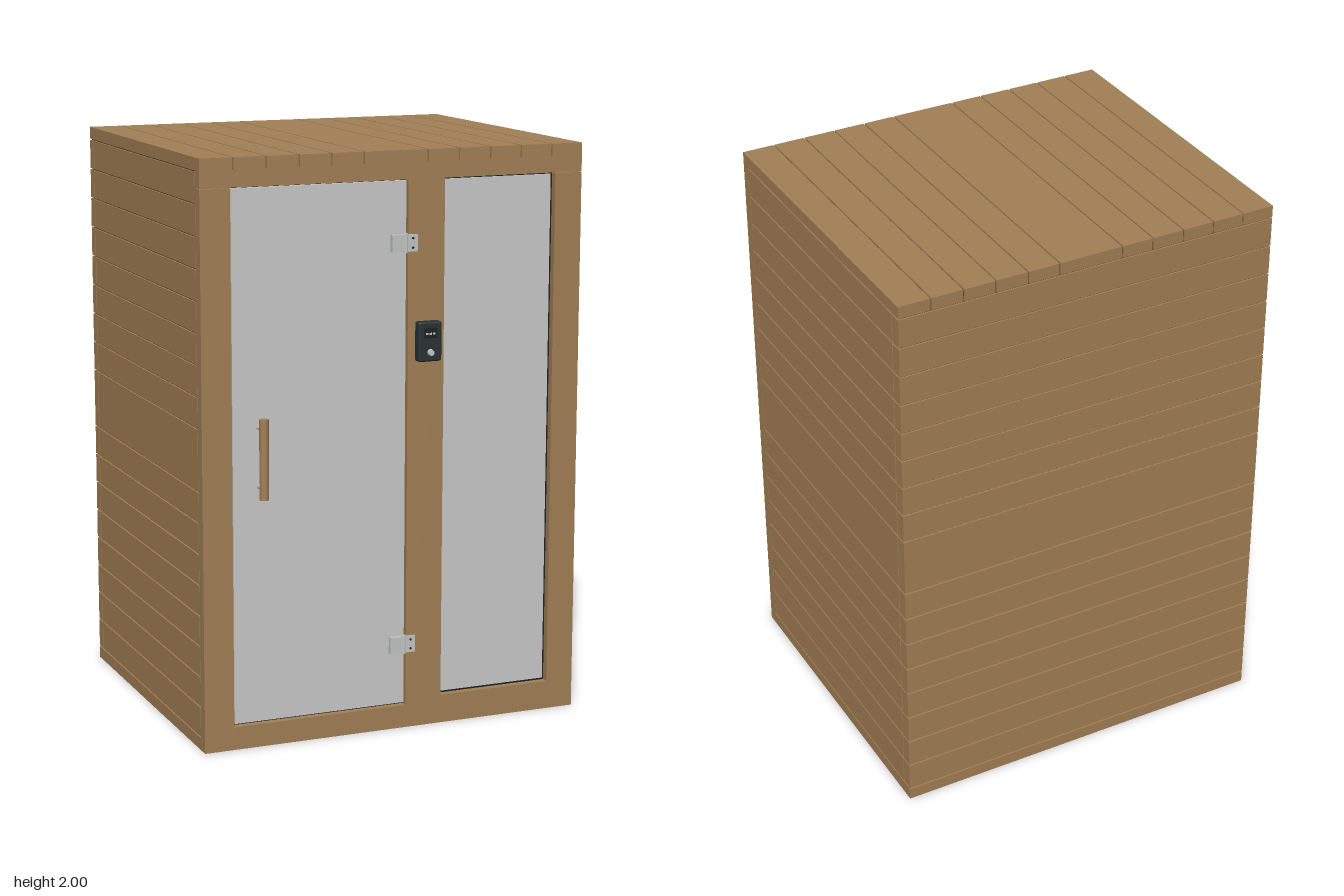
import * as THREE from 'three';
import { RoundedBoxGeometry } from 'three/addons/geometries/RoundedBoxGeometry.js';

const mat = (name, color, extra = {}) => {
  const m = new THREE.MeshStandardMaterial({ color, ...extra });
  m.name = name;
  return m;
};

export function createModel() {
  const wood = mat('wood', 0xa38055);
  const groove = mat('groove shadow', 0x5a4128);
  const glass = mat('frosted glass', 0xc8cac9);
  const black = mat('gasket black', 0x1f2224);
  const casing = mat('controller casing', 0x2b3235);
  const steel = mat('steel', 0xc4c6c6);

  const root = new THREE.Group();
  root.name = 'saunaCabin';
  const group = (name) => {
    const g = new THREE.Group();
    g.name = name;
    root.add(g);
    return g;
  };
  const add = (parent, name, geometry, material, x = 0, y = 0, z = 0) => {
    const m = new THREE.Mesh(geometry, material);
    m.name = name;
    m.position.set(x, y, z);
    parent.add(m);
    return m;
  };
  // Box given by its limits on each axis
  const box = (parent, name, material, x0, x1, y0, y1, z0, z1) =>
    add(parent, name, new THREE.BoxGeometry(x1 - x0, y1 - y0, z1 - z0), material,
      (x0 + x1) / 2, (y0 + y1) / 2, (z0 + z1) / 2);

  const W = 0.69, BACK = -0.62, FRONT = 0.565, POST = 0.525, LOW = 0.045, HIGH = 1.955;
  const g = 0.0025; // half the gap between boards

  // Dark core seen through the gaps between boards
  box(root, 'core', groove, -W + 0.006, W - 0.006, 0.01, 1.994, BACK + 0.006, POST - 0.005);
  box(root, 'baseFrame', wood, -W, W, 0, LOW - g, BACK, FRONT);

  // Wall boards; the middle board is double height
  const walls = group('wallBoards');
  const rows = 18, step = (HIGH - LOW) / rows;
  for (let i = 0; i < rows; i++) {
    if (i === 9) continue;
    const y0 = LOW + i * step + g;
    const y1 = LOW + (i === 8 ? i + 2 : i + 1) * step - g;
    for (const s of [-1, 1]) {
      const a = s * W, b = s * (W - 0.04);
      box(walls, 'sideBoard', wood, Math.min(a, b), Math.max(a, b), y0, y1, -0.575 + g, POST - g);
    }
    box(walls, 'backBoard', wood, -W, W, y0, y1, BACK, -0.575 - g);
  }

  // Roof boards; the middle board is double width
  const roof = group('roofBoards');
  const cols = 12, pitch = (2 * W) / cols;
  for (let i = 0; i < cols; i++) {
    if (i === 6) continue;
    const x0 = -W + i * pitch + (i ? g : 0);
    const x1 = -W + (i === 5 ? i + 2 : i + 1) * pitch - (i < cols - 1 ? g : 0);
    box(roof, 'roofBoard', wood, x0, x1, HIGH + g, 2, BACK, FRONT);
  }

  // Front frame
  const frame = group('frontFrame');
  box(frame, 'header', wood, -W, W, 1.902, HIGH + g, POST, FRONT);
  box(frame, 'rightStile', wood, -W, -0.585, LOW - g, 1.9, POST, FRONT);
  box(frame, 'middleStile', wood, 0.045, 0.178, LOW - g, 1.902, POST, FRONT);
  box(frame, 'leftStile', wood, 0.59, W, LOW - g, 1.9, POST, FRONT);
  box(frame, 'doorSill', wood, -0.585, 0.045, LOW - g, 0.08, POST, FRONT);
  box(frame, 'windowSill', wood, 0.178, 0.59, LOW - g, 0.1, POST, FRONT);

  // Glass door and fixed window with dark seals behind their edges
  box(root, 'doorSeal', black, -0.585, 0.045, 0.08, 1.902, 0.515, 0.54);
  box(root, 'doorGlass', glass, -0.58, 0.041, 0.088, 1.898, 0.54, 0.556);
  box(root, 'windowSeal', black, 0.178, 0.59, 0.1, 1.902, 0.515, 0.54);
  box(root, 'windowGlass', glass, 0.183, 0.582, 0.108, 1.896, 0.54, 0.546);

  // Door handle on two standoffs
  const handle = group('doorHandle');
  add(handle, 'grip', new THREE.CylinderGeometry(0.016, 0.016, 0.272, 24), wood, -0.487, 1.003, 0.603);
  for (const y of [0.903, 1.103]) {
    add(handle, 'standoff', new THREE.CylinderGeometry(0.008, 0.008, 0.048, 16), steel, -0.487, y, 0.578)
      .rotation.x = Math.PI / 2;
  }

  // Hinges
  for (const y of [0.3, 1.69]) {
    const h = group('hinge');
    h.position.y = y;
    box(h, 'glassPlate', steel, -0.015, 0.029, -0.029, 0.029, 0.555, 0.571);
    box(h, 'framePlate', steel, 0.04, 0.077, -0.029, 0.029, 0.562, 0.571);
    add(h, 'barrel', new THREE.CylinderGeometry(0.008, 0.008, 0.066, 16), steel, 0.035, 0, 0.567);
    for (const dy of [-0.016, 0.016]) {
      add(h, 'screw', new THREE.CylinderGeometry(0.004, 0.004, 0.002, 12), black, 0.06, dy, 0.5715)
        .rotation.x = Math.PI / 2;
    }
  }

  // Controller with display and knob
  const control = group('controller');
  box(control, 'backPlate', casing, 0.073, 0.147, 1.295, 1.42, 0.56, 0.575);
  add(control, 'casing', new RoundedBoxGeometry(0.086, 0.136, 0.036, 3, 0.008), casing, 0.11, 1.358, 0.589);
  box(control, 'displayScreen', black, 0.085, 0.135, 1.37, 1.405, 0.606, 0.608);
  for (const x of [0.097, 0.11, 0.123]) {
    box(control, 'displayBar', glass, x - 0.005, x + 0.005, 1.382, 1.389, 0.607, 0.609);
  }
  add(control, 'knob', new THREE.CylinderGeometry(0.01, 0.012, 0.014, 24), steel, 0.11, 1.322, 0.611)
    .rotation.x = Math.PI / 2;

  return root;
}
